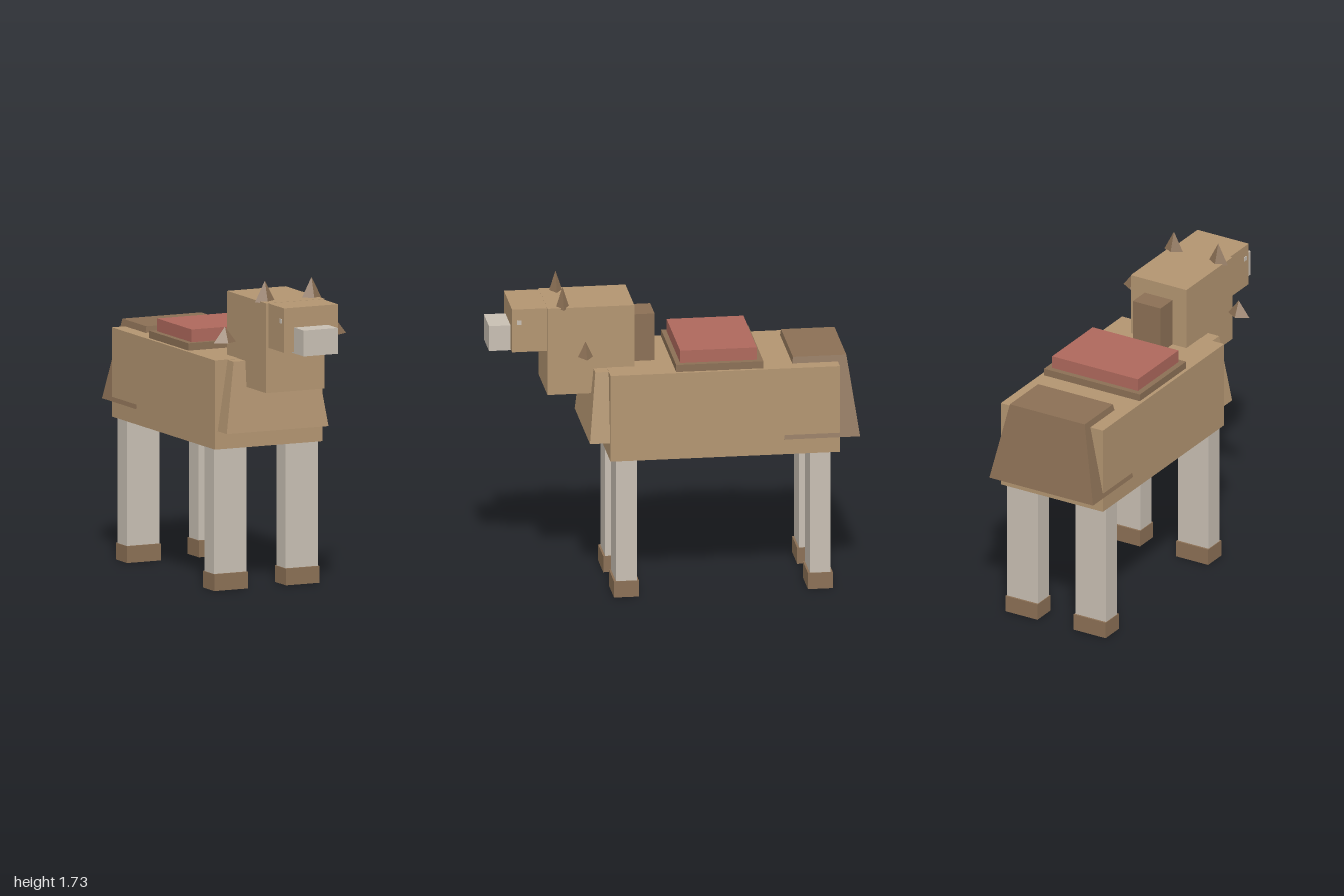
import * as THREE from 'three';

function material(name, color) {
  const m = new THREE.MeshStandardMaterial({ color });
  m.name = name;
  m.flatShading = true;
  return m;
}

export function createModel() {
  const model = new THREE.Group();
  model.name = 'packAnimal';
  const tan = material('tan coat', 0xb39571);
  const brown = material('dark brown', 0x8b7055);
  const grey = material('pale grey', 0xc8bfb3);
  const red = material('saddle red', 0xae685c);

  function add(name, geometry, mat) {
    const mesh = new THREE.Mesh(geometry, mat);
    mesh.name = name;
    model.add(mesh);
    return mesh;
  }

  // Box given by its limits on each axis
  function box(name, mat, [x0, x1], [y0, y1], [z0, z1]) {
    const mesh = add(name, new THREE.BoxGeometry(x1 - x0, y1 - y0, z1 - z0), mat);
    mesh.position.set((x0 + x1) / 2, (y0 + y1) / 2, (z0 + z1) / 2);
    return mesh;
  }

  // Tapered block: half width and z limits differ at bottom and top
  function taper(name, mat, [y0, y1], bottom, top) {
    const geometry = new THREE.BoxGeometry(1, 1, 1);
    const p = geometry.attributes.position;
    for (let i = 0; i < p.count; i++) {
      const up = p.getY(i) > 0;
      const [half, back, front] = up ? top : bottom;
      p.setXYZ(i, Math.sign(p.getX(i)) * half, up ? y1 : y0, p.getZ(i) > 0 ? front : back);
    }
    geometry.computeVertexNormals();
    return add(name, geometry, mat);
  }

  // Four-sided spike with a diamond base
  function spike(name, x, y, z, halfX, halfZ, height) {
    const mesh = add(name, new THREE.ConeGeometry(1, 1, 4), brown);
    mesh.scale.set(halfX, height, halfZ);
    mesh.position.set(x, y + height / 2, z);
  }

  // Trunk, chest and rump
  box('body', tan, [-0.325, 0.325], [0.78, 1.27], [-0.89, 0.365]);
  taper('chest', tan, [0.88, 1.268], [0.308, 0.2, 0.475], [0.248, 0.24, 0.438]);
  taper('rump', brown, [0.865, 1.305], [0.33, -0.585, -1.0].map((v, i, a) => (i ? a[3 - i] : v)),
    [0.238, -0.937, -0.645]);

  // Saddle
  box('saddlePad', brown, [-0.305, 0.305], [1.25, 1.31], [-0.475, 0.003]);
  box('saddleSeat', red, [-0.273, 0.273], [1.31, 1.38], [-0.443, -0.023]);

  // Head and neck
  box('neckHead', tan, [-0.177, 0.177], [1.127, 1.62], [0.215, 0.69]);
  box('face', tan, [-0.163, 0.163], [1.375, 1.619], [0.68, 0.882]);
  box('snout', grey, [-0.103, 0.103], [1.368, 1.51], [0.81, 1.0]);
  box('mane', brown, [-0.088, 0.088], [1.2, 1.537], [0.092, 0.216]);

  for (const side of [-1, 1]) {
    const label = side > 0 ? 'left' : 'right';
    spike(label + 'Ear', side * 0.141, 1.613, 0.603, 0.061, 0.037, 0.117);
    spike(label + 'LowerSpike', side * 0.333, 1.39, 0.503, 0.067, 0.041, 0.087);
    // Eye plate
    const eye = box(label + 'Eye', grey, [-0.003, 0.003], [1.532, 1.556], [0.832, 0.856]);
    eye.position.x = side * 0.164;
    // Legs and hooves
    for (const [part, z] of [['Front', 0.277], ['Back', -0.784]]) {
      const x = side * 0.217;
      box(label + part + 'Leg', grey, [x - 0.098, x + 0.098], [0.08, 0.79], [z - 0.057, z + 0.057]);
      box(label + part + 'Hoof', brown, [x - 0.102, x + 0.102], [0, 0.092], [z - 0.068, z + 0.068]);
    }
  }
  return model;
}
